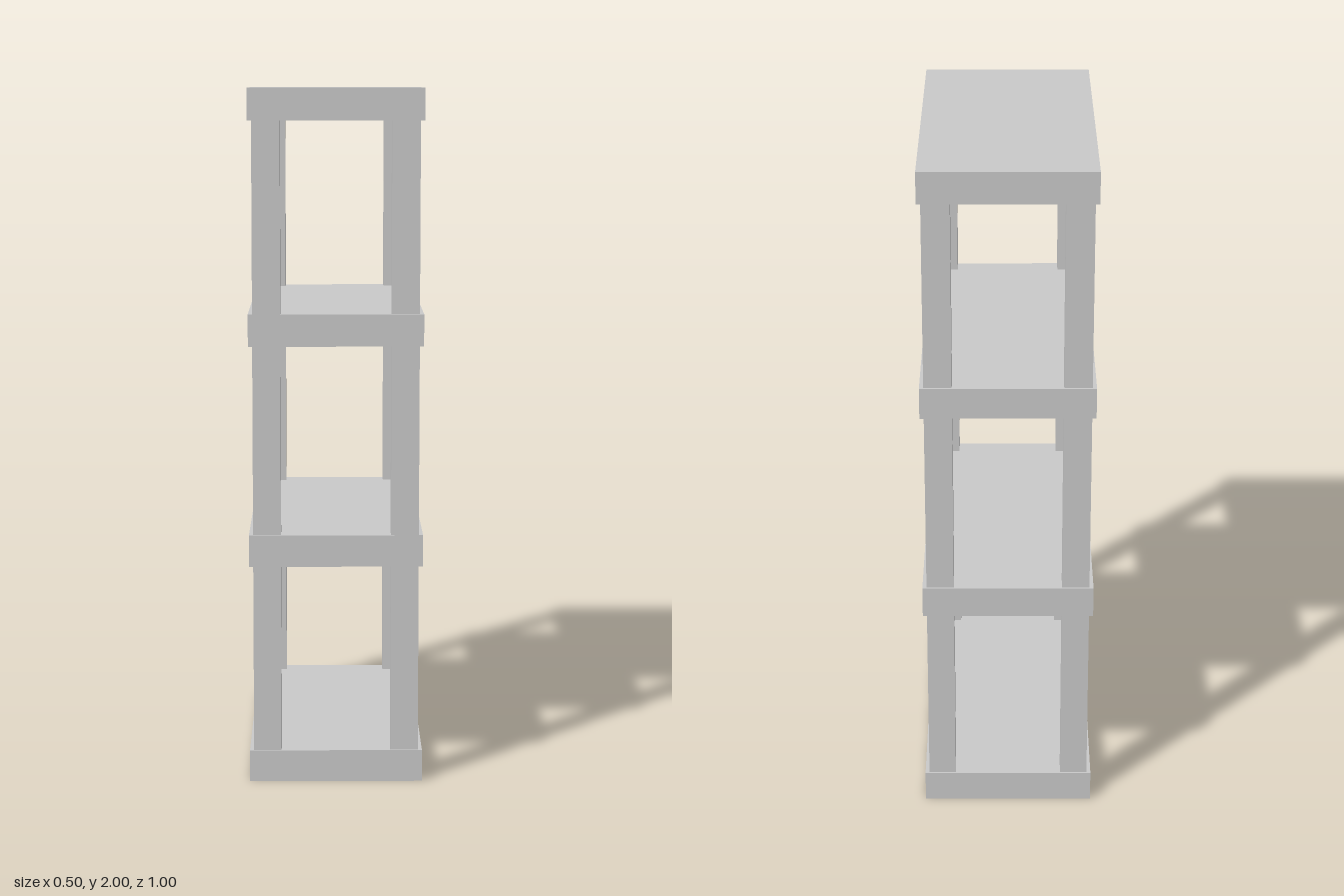
import * as THREE from 'three';

const WIDTH = 0.5, DEPTH = 1, HEIGHT = 2;
const SHELVES = 4, THICK = 0.092;
const POST_W = 0.08, POST_D = 0.052;
const POST_X = 0.198, POST_Z = 0.469;

export function createModel() {
  const group = new THREE.Group();
  group.name = 'shelfUnit';
  const material = new THREE.MeshStandardMaterial({ color: 0xcccccc, flatShading: true });

  const addBox = (name, w, h, d, x, y, z) => {
    const mesh = new THREE.Mesh(new THREE.BoxGeometry(w, h, d), material);
    mesh.name = name;
    mesh.position.set(x, y, z);
    group.add(mesh);
  };

  const step = (HEIGHT - THICK) / (SHELVES - 1);
  const gap = step - THICK;

  for (let i = 0; i < SHELVES; i++) {
    // Shelf boards, evenly spaced from floor to top
    const y = THICK / 2 + i * step;
    addBox(`shelf${i + 1}`, WIDTH, THICK, DEPTH, 0, y, 0);

    // Four corner posts between this shelf and the next
    if (i === SHELVES - 1) continue;
    for (const sx of [-1, 1]) {
      for (const sz of [-1, 1]) {
        const name = `${sz > 0 ? 'front' : 'back'}${sx > 0 ? 'Left' : 'Right'}Post${i + 1}`;
        addBox(name, POST_W, gap, POST_D, sx * POST_X, y + step / 2, sz * POST_Z);
      }
    }
  }
  return group;
}
